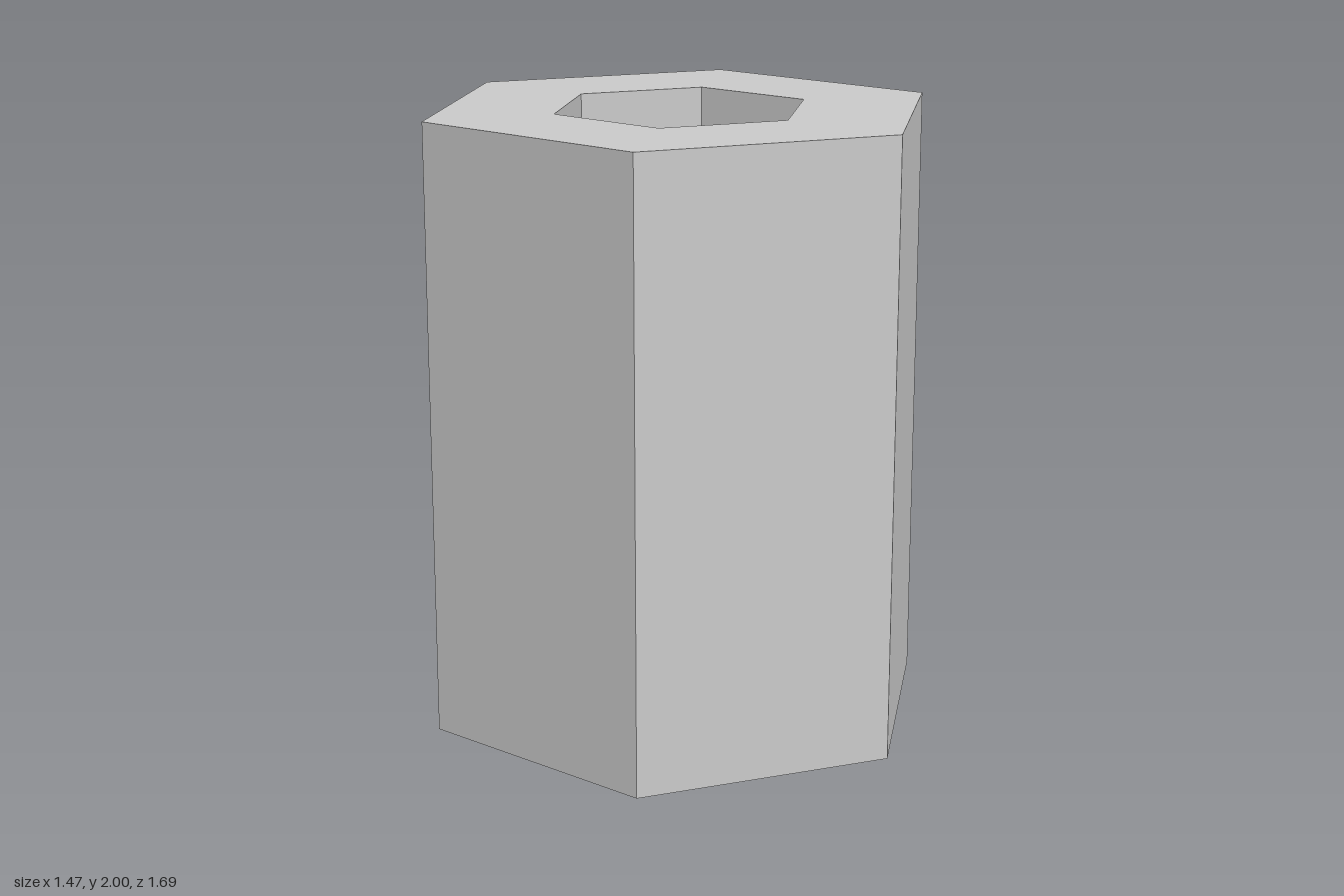
import * as THREE from 'three';

const OUTER = 0.847, INNER = 0.423, HEIGHT = 2, SIDES = 6;

// corners of a hexagon with one corner pointing to the front
const corners = (r) => Array.from({ length: SIDES }, (_, i) => {
  const a = (i / SIDES) * Math.PI * 2;
  return new THREE.Vector2(r * Math.sin(a), r * Math.cos(a));
});

// bore walls; the lower edge cuts straight across one corner of the hexagon
function boreGeometry() {
  const ring = corners(INNER), cutCorner = 1;
  const top = (i) => [ring[i].x, HEIGHT, ring[i].y];
  const bottom = (i) => {
    const p = ring[i === cutCorner ? cutCorner - 1 : i];
    return [p.x, 0, p.y];
  };
  const pos = [];
  for (let i = 0; i < SIDES; i++) {
    const j = (i + 1) % SIDES;
    if (j !== cutCorner) pos.push(...bottom(i), ...top(i), ...bottom(j));
    pos.push(...bottom(j), ...top(i), ...top(j));
  }
  const g = new THREE.BufferGeometry();
  g.setAttribute('position', new THREE.Float32BufferAttribute(pos, 3));
  g.computeVertexNormals();
  return g;
}

export function createModel() {
  const model = new THREE.Group();
  model.name = 'hexTube';
  const material = new THREE.MeshStandardMaterial({
    color: 0xcccccc, flatShading: true, side: THREE.DoubleSide,
  });
  const add = (name, geometry, y = 0) => {
    const mesh = new THREE.Mesh(geometry, material);
    mesh.name = name;
    mesh.position.y = y;
    model.add(mesh);
  };

  // outer walls
  add('outerWall', new THREE.CylinderGeometry(OUTER, OUTER, HEIGHT, SIDES, 1, true), HEIGHT / 2);

  // flat end rings with a hexagonal opening
  const ring = new THREE.Shape(corners(OUTER));
  ring.holes.push(new THREE.Path(corners(INNER)));
  add('topRing', new THREE.ShapeGeometry(ring).rotateX(-Math.PI / 2), HEIGHT);
  add('bottomRing', new THREE.ShapeGeometry(ring).rotateX(Math.PI / 2));

  // inner walls
  add('bore', boreGeometry());
  return model;
}
